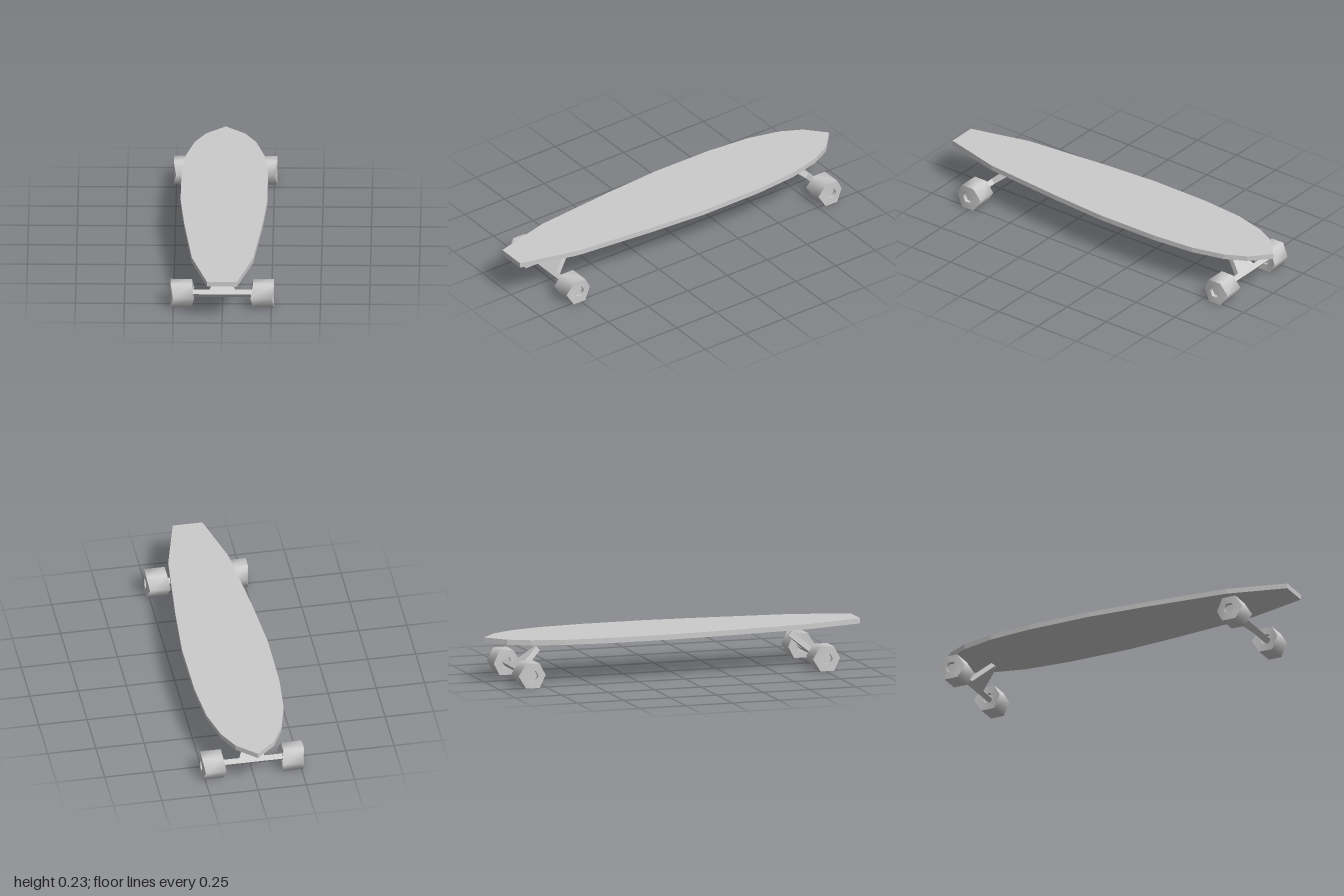
import * as THREE from 'three';
import { toCreasedNormals } from 'three/addons/utils/BufferGeometryUtils.js';

const material = new THREE.MeshStandardMaterial({ color: 0xcccccc });

function addMesh(parent, name, geometry) {
  const mesh = new THREE.Mesh(geometry, material);
  mesh.name = name;
  parent.add(mesh);
  return mesh;
}

// Closed shape mirrored across x = 0 from its +x half
function mirroredShape(half) {
  const other = half.filter(([x]) => x > 0).reverse().map(([x, y]) => [-x, y]);
  return new THREE.Shape([...half, ...other].map(([x, y]) => new THREE.Vector2(x, y)));
}

// Flat deck: square tail at +z, pointed nose at -z
function deckGeometry() {
  const half = [
    [0.077, 1], [0.157, 0.69], [0.2, 0.25], [0.222, -0.06], [0.22, -0.4],
    [0.2, -0.63], [0.157, -0.8], [0.1, -0.91], [0, -1],
  ].map(([x, z]) => [x, -z]);
  const g = new THREE.ExtrudeGeometry(mirroredShape(half), { depth: 0.027, bevelEnabled: false });
  return g.rotateX(-Math.PI / 2).translate(0, 0.203, 0);
}

// Axle bar and tapered hanger cut from one slab, leaning under the deck
function hangerGeometry() {
  const tilt = THREE.MathUtils.degToRad(40);
  const thick = 0.029;
  const half = [[0.18, -0.014], [0.18, 0.014], [0.065, 0.014], [0.01, 0.149]];
  const g = new THREE.ExtrudeGeometry(mirroredShape(half), { depth: thick, bevelEnabled: false });
  return g.translate(0, 0, -thick / 2).rotateX(tilt - Math.PI / 2);
}

// Six-sided wheel with a recessed hub on both ends, axis along x
function wheelGeometry() {
  const R = 0.073, hub = 0.03, width = 0.108, depth = 0.02;
  const profile = [
    [0, depth], [hub, depth], [hub, 0], [R, 0],
    [R, width], [hub, width], [hub, width - depth], [0, width - depth],
  ].map(([r, a]) => new THREE.Vector2(r, a));
  const g = new THREE.LatheGeometry(profile, 6);
  g.rotateZ(-Math.PI / 2).translate(0.156, 0, 0);
  // Front and rear corners sit slightly further inboard
  const p = g.attributes.position;
  for (let i = 0; i < p.count; i++) {
    const k = Math.max(0, (2 * Math.abs(p.getZ(i))) / R - 1);
    p.setX(i, p.getX(i) - 0.012 * k);
  }
  return toCreasedNormals(g, 1.2);
}

export function createModel() {
  const model = new THREE.Group();
  model.name = 'longboard';
  addMesh(model, 'deck', deckGeometry());

  const hanger = hangerGeometry();
  const wheel = wheelGeometry();
  for (const [name, z, turn] of [['frontTruck', 0.76, 0], ['rearTruck', -0.825, Math.PI]]) {
    const truck = new THREE.Group();
    truck.name = name;
    truck.position.set(0, 0.0635, z);
    truck.rotation.y = turn;
    addMesh(truck, 'hanger', hanger);
    for (const side of [0, 1]) {
      addMesh(truck, (side === 0) === (turn === 0) ? 'leftWheel' : 'rightWheel', wheel).rotation.y = side * Math.PI;
    }
    model.add(truck);
  }
  return model;
}
